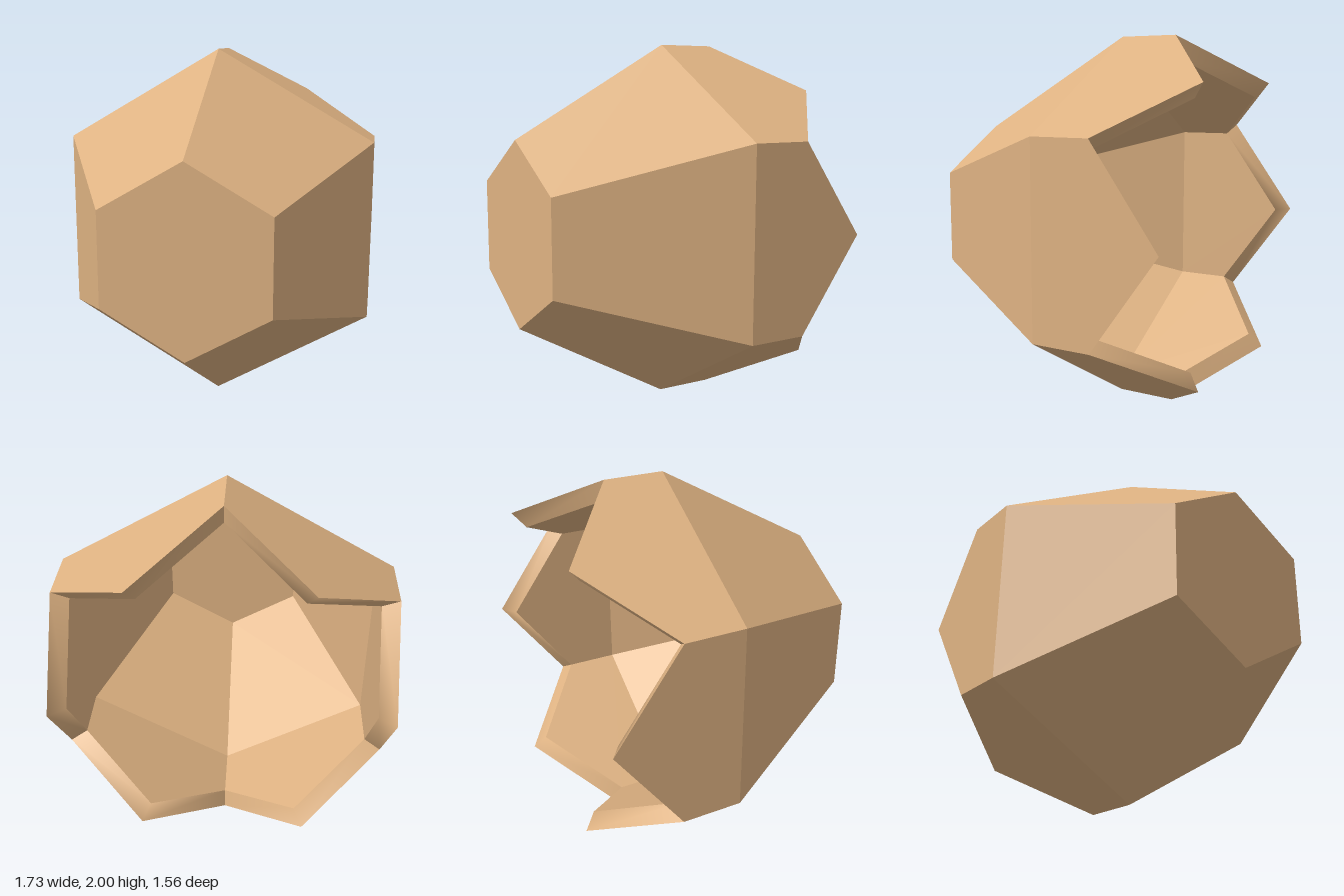
import * as THREE from 'three';

const STEP = Math.PI / 3;
const INNER_SCALE = 0.9;  // cavity size relative to the outside
const CENTRE_Z = -0.15;   // the cavity shrinks towards this depth

// Point on a hexagon ring around the z axis, centred at y = 1
const ring = (radius, angle, z) =>
  new THREE.Vector3(radius * Math.cos(angle), 1 + radius * Math.sin(angle), z);

// Matching point on the cavity wall
const inward = (p) => new THREE.Vector3(
  p.x * INNER_SCALE,
  1 + (p.y - 1) * INNER_SCALE,
  CENTRE_Z + (p.z - CENTRE_Z) * INNER_SCALE);

// Flat plates with an outer skin and a reversed inner skin
function shellGeometry(polygons) {
  const points = [];
  const fan = (poly) => {
    for (let i = 1; i < poly.length - 1; i++) points.push(poly[0], poly[i], poly[i + 1]);
  };
  for (const poly of polygons) {
    fan(poly);
    fan(poly.map(inward).reverse());
  }
  const geometry = new THREE.BufferGeometry().setFromPoints(points);
  geometry.computeVertexNormals();
  return geometry;
}

// Rim strip joining both skins, shaded smoothly over the tooth tip
function rimGeometry(edge) {
  const geometry = new THREE.BufferGeometry().setFromPoints([...edge, ...edge.map(inward)]);
  const n = edge.length;
  const index = [];
  for (let i = 0; i < n - 1; i++) {
    index.push(i + 1, i, n + i, i + 1, n + i, n + i + 1);
  }
  geometry.setIndex(index);
  geometry.computeVertexNormals();
  return geometry;
}

export function createModel() {
  const model = new THREE.Group();
  model.name = 'hexagonalShell';
  const material = new THREE.MeshStandardMaterial({ color: 0xdeb282 });

  const add = (parent, name, geometry) => {
    const mesh = new THREE.Mesh(geometry, material);
    mesh.name = name;
    parent.add(mesh);
  };

  // Closed hexagonal front plate
  const front = [];
  for (let i = 0; i < 6; i++) front.push(ring(0.5, Math.PI / 2 + i * STEP, 0.78));
  add(model, 'frontPlate', shellGeometry([front]));

  // Six side panels: a taper, a straight band and a pointed tooth at the back
  for (let i = 0; i < 6; i++) {
    const a = Math.PI / 2 + i * STEP;
    const b = a + STEP;
    const shoulderA = ring(1, a, -0.1), shoulderB = ring(1, b, -0.1);
    const valleyA = ring(1, a, -0.42), valleyB = ring(1, b, -0.42);
    const tip = ring(Math.cos(STEP / 2), a + STEP / 2, -0.78);

    const side = new THREE.Group();
    side.name = `side${i + 1}`;
    add(side, 'taperedPanel',
      shellGeometry([[ring(0.5, a, 0.78), shoulderA, shoulderB, ring(0.5, b, 0.78)]]));
    add(side, 'toothPanel', shellGeometry([[shoulderA, valleyA, tip, valleyB, shoulderB]]));
    add(side, 'toothRim', rimGeometry([valleyA, tip, valleyB]));
    model.add(side);
  }
  return model;
}
